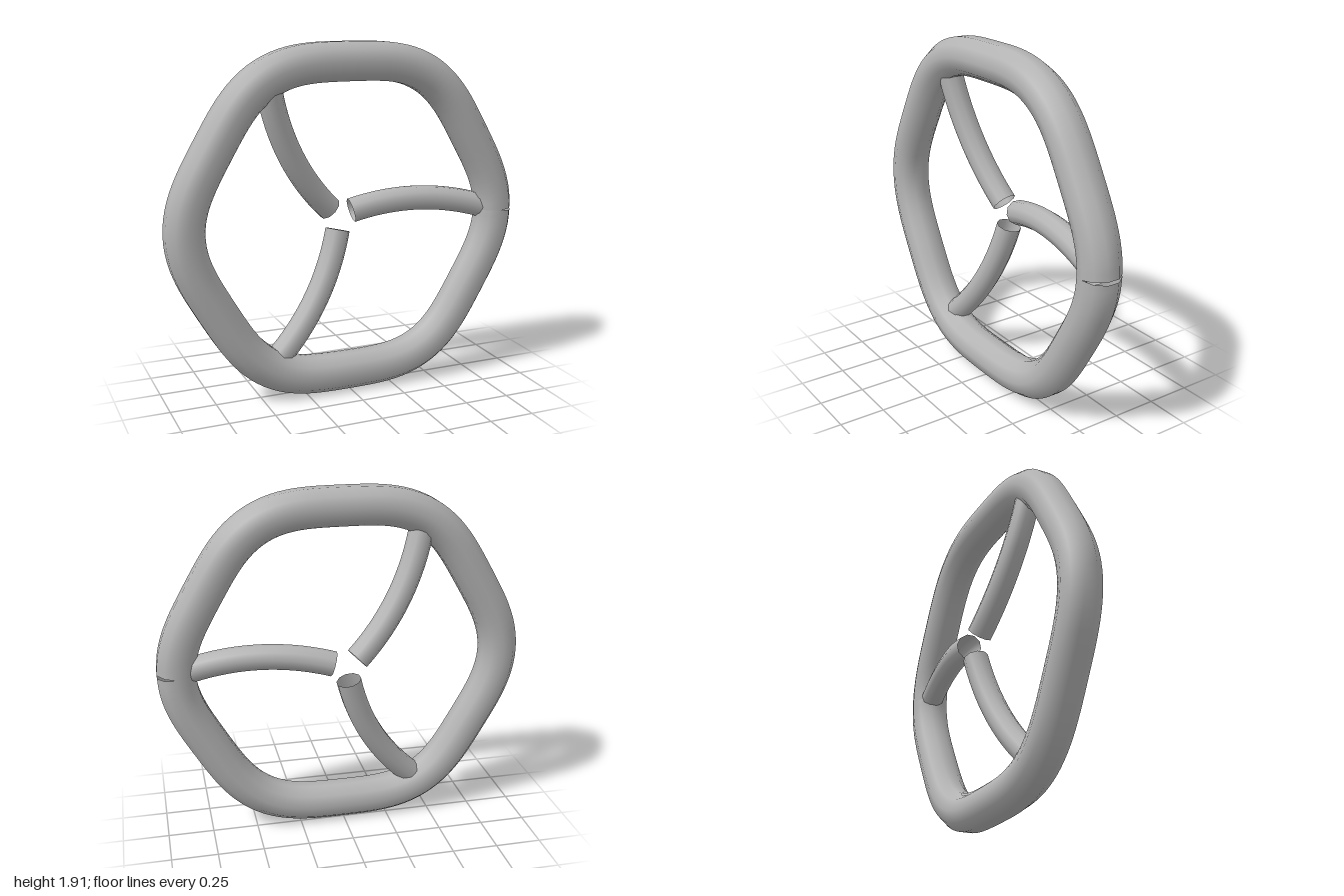
import * as THREE from 'three';

const CENTER_Y = 0.957;
const RIM_Z = 0.0375;

export function createModel() {
  const wheel = new THREE.Group();
  wheel.name = 'steeringWheel';
  const gray = new THREE.MeshStandardMaterial({ color: 0xb4b4b4, side: THREE.DoubleSide });
  gray.name = 'gray';

  const addTube = (name, curve, segments, radius) => {
    const mesh = new THREE.Mesh(new THREE.TubeGeometry(curve, segments, radius, 10, false), gray);
    mesh.name = name;
    mesh.position.y = CENTER_Y;
    wheel.add(mesh);
    return mesh;
  };

  // Rim: a rounded hexagon, left open so a fine seam shows at +x
  const rimPoints = [];
  for (let i = 0; i <= 72; i++) {
    const a = (i / 72) * Math.PI * 2;
    const r = 0.8755 + 0.0225 * Math.cos(6 * a);
    rimPoints.push(new THREE.Vector3(r * Math.cos(a), r * Math.sin(a), RIM_Z));
  }
  addTube('rim', new THREE.CatmullRomCurve3(rimPoints), 144, 0.1075);

  // Three bowed spokes, leaning back towards the open hub
  const spokeCurve = new THREE.QuadraticBezierCurve3(
    new THREE.Vector3(0.07, 0.027, -0.08),
    new THREE.Vector3(0.48, 0.145, -0.023),
    new THREE.Vector3(0.89, -0.005, 0.035)
  );
  for (let i = 0; i < 3; i++) {
    const spoke = addTube('spoke' + (i + 1), spokeCurve, 24, 0.068);
    spoke.rotation.z = (i * Math.PI * 2) / 3;
  }

  return wheel;
}
